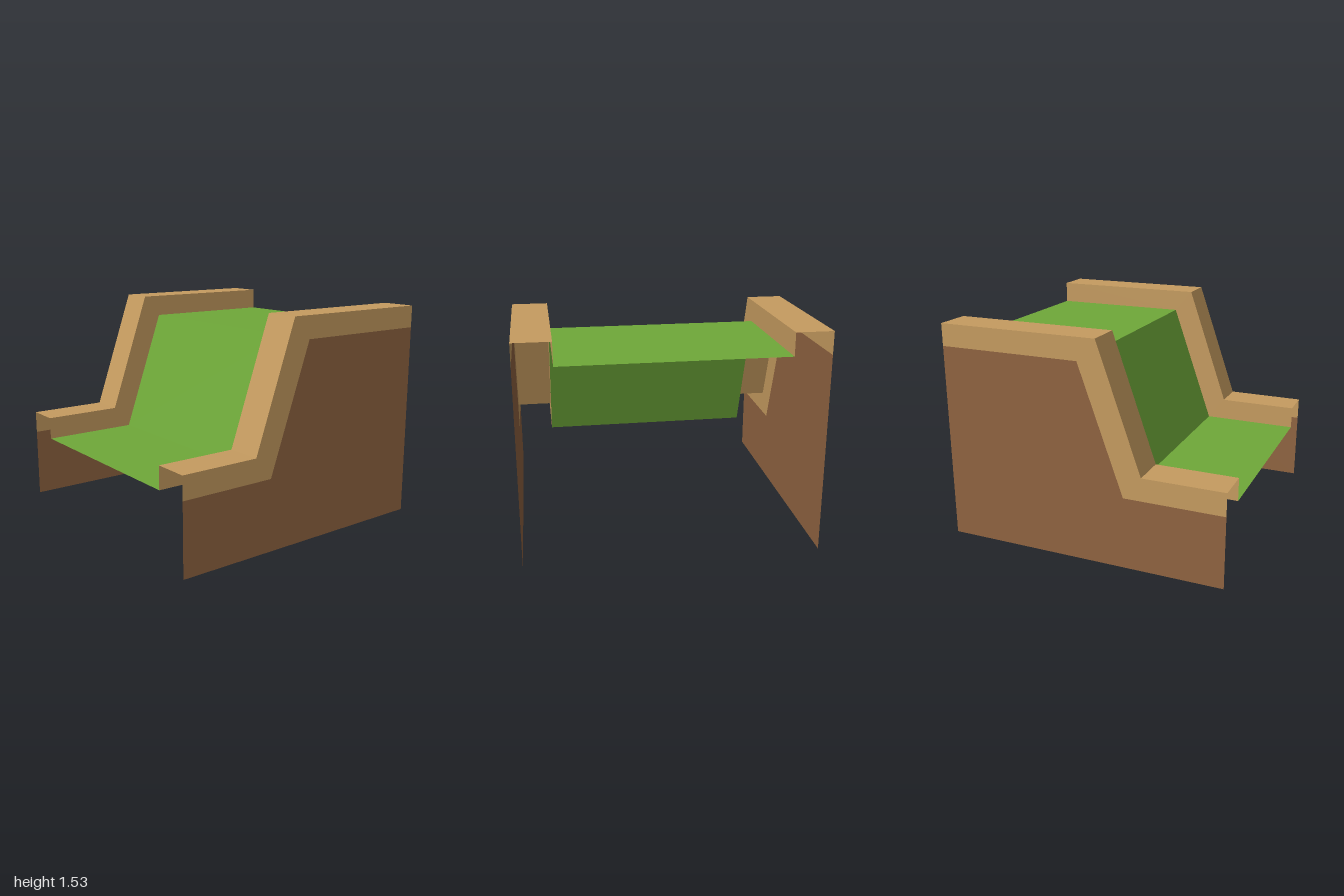
import * as THREE from 'three';

const flat = (name, color) => {
  const m = new THREE.MeshStandardMaterial({ color, side: THREE.DoubleSide });
  m.name = name;
  return m;
};

// Profiles as [z, y], running from front to back
const ground = [[1, 0], [0.31, 0], [0, 0], [-1, 0]];
const slope = [[1, 0.5], [0.31, 0.5], [0, 1.375], [-1, 1.375]];
const rim = [[1, 0.66], [0.435, 0.66], [0.13, 1.53], [-1, 1.53]];

const INNER = 0.75, OUTER = 1;

// Flat-shaded ribbon of quads between profile a at xa and profile b at xb
function ribbon(a, xa, b, xb, flip) {
  const pos = [];
  const p = (prof, x, i) => [x, prof[i][1], prof[i][0]];
  for (let i = 0; i < a.length - 1; i++) {
    const q = [p(a, xa, i), p(b, xb, i), p(b, xb, i + 1), p(a, xa, i + 1)];
    const order = flip ? [0, 2, 1, 0, 3, 2] : [0, 1, 2, 0, 2, 3];
    order.forEach((k) => pos.push(...q[k]));
  }
  const g = new THREE.BufferGeometry();
  g.setAttribute('position', new THREE.Float32BufferAttribute(pos, 3));
  g.computeVertexNormals();
  return g;
}

export function createModel() {
  const grass = flat('grass green', 0x6fa939);
  const tan = flat('tan', 0xc69c60);
  const brown = flat('earth brown', 0x906441);
  const model = new THREE.Group();
  model.name = 'slopeSection';

  const add = (parent, name, geometry, material) => {
    const mesh = new THREE.Mesh(geometry, material);
    mesh.name = name;
    parent.add(mesh);
  };

  // Stepped grass sheet between the borders
  add(model, 'grassSlope', ribbon(slope, -INNER, slope, INNER, false), grass);

  // Raised border and earth wall on each side, open at the ends and below
  for (const s of [1, -1]) {
    const side = new THREE.Group();
    side.name = s > 0 ? 'leftSide' : 'rightSide';
    const mirrored = s < 0;
    add(side, 'borderTop', ribbon(rim, s * INNER, rim, s * OUTER, mirrored), tan);
    add(side, 'borderInnerFace', ribbon(slope, s * INNER, rim, s * INNER, mirrored), tan);
    add(side, 'borderOuterFace', ribbon(slope, s * OUTER, rim, s * OUTER, !mirrored), tan);
    add(side, 'earthWall', ribbon(ground, s * OUTER, slope, s * OUTER, !mirrored), brown);
    model.add(side);
  }
  return model;
}
